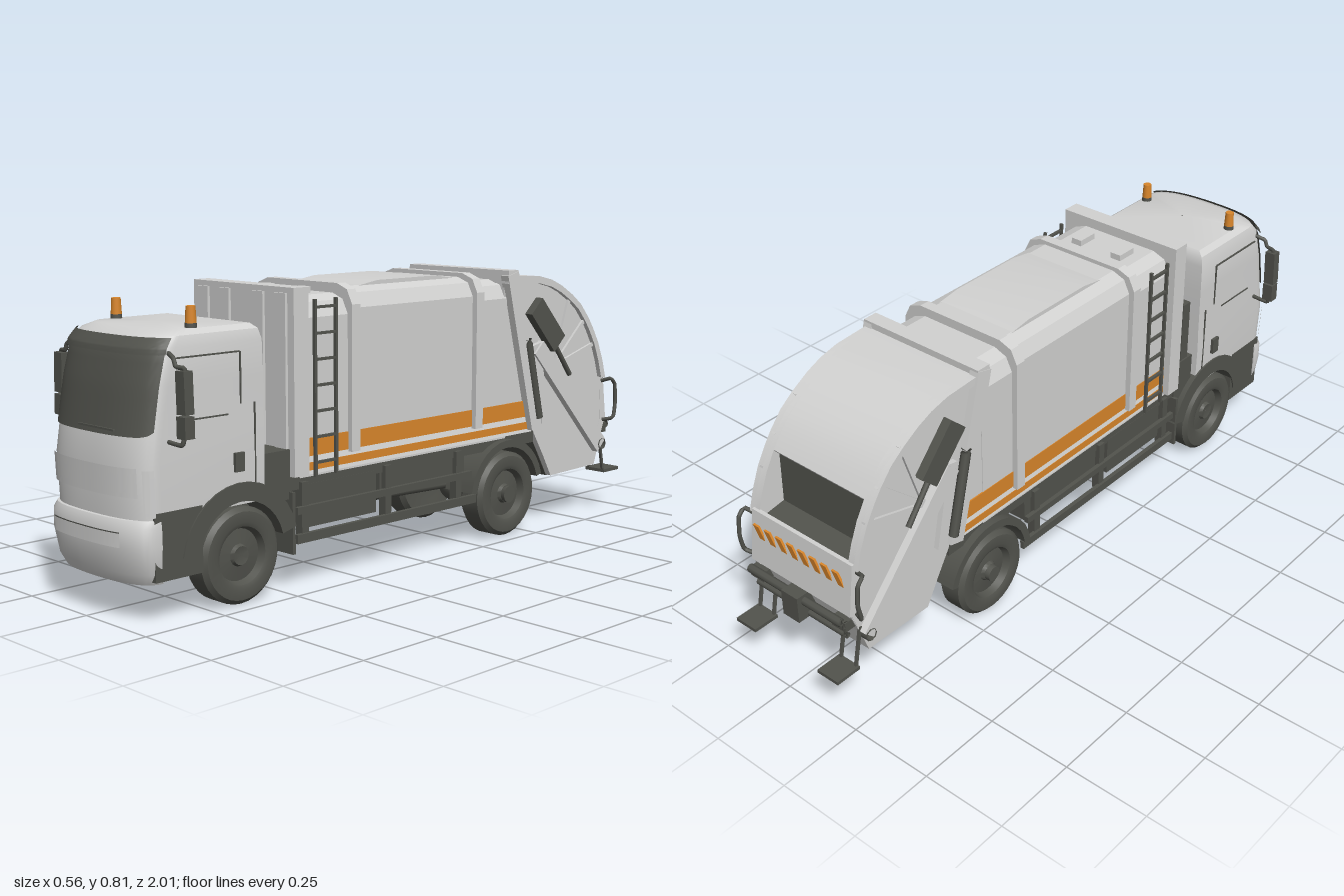
import * as THREE from 'three';
import { toCreasedNormals } from 'three/addons/utils/BufferGeometryUtils.js';

const mat = (name, color, side = THREE.FrontSide) => Object.assign(new THREE.MeshStandardMaterial({ color, side }), { name });
const light = mat('lightGrey', 0xd2d2d1);
const dark = mat('darkGrey', 0x52534d, THREE.DoubleSide);
const orange = mat('orange', 0xd9862b);
const white = mat('white', 0xf0f0ee);

// Cab outline by height: y, half width, front z, back z
const CAB = [[0.265, 0.001, 0.75, 0.74], [0.266, 0.201, 0.98, 0.57], [0.4, 0.203, 0.985, 0.57], [0.47, 0.201, 0.975, 0.57],
  [0.6, 0.2, 0.952, 0.57], [0.69, 0.198, 0.928, 0.572], [0.718, 0.19, 0.905, 0.578], [0.731, 0.172, 0.87, 0.59], [0.735, 0.001, 0.75, 0.74]];
const BUMPER = [[0.1, 0.001, 0.95, 0.94], [0.101, 0.19, 0.972, 0.91], [0.13, 0.202, 0.985, 0.91], [0.2, 0.207, 0.998, 0.91],
  [0.25, 0.206, 0.998, 0.91], [0.268, 0.202, 0.988, 0.91], [0.272, 0.001, 0.95, 0.94]];

// Bowed front of a section at t from -1 (right) to 1 (left)
function frontPoint([y, w, zf], t, off = 0) {
  const a = t * Math.PI / 2, d = Math.min(0.075, w);
  return [Math.sign(t) * (w + off) * Math.abs(Math.sin(a)) ** 0.8, y, zf - d + (d + off) * Math.max(0, Math.cos(a)) ** 0.8];
}
function sectionAt(table, y) {
  const i = Math.max(1, table.findIndex(r => r[0] >= y));
  const a = table[i - 1], b = table[i], k = (y - a[0]) / (b[0] - a[0]);
  return a.map((v, j) => v + (b[j] - v) * k);
}
function grid(rows, crease) {
  const n = rows[0].length, index = [];
  for (let j = 0; j < rows.length - 1; j++) for (let i = 0; i < n - 1; i++) {
    const a = j * n + i, b = a + n;
    index.push(a, a + 1, b + 1, a, b + 1, b);
  }
  const g = new THREE.BufferGeometry();
  g.setAttribute('position', new THREE.Float32BufferAttribute(rows.flat(2), 3));
  g.setIndex(index);
  return toCreasedNormals(g, crease);
}
const loft = table => grid(table.map(s => {
  const ring = [];
  for (let i = 0; i <= 32; i++) ring.push(frontPoint(s, i / 16 - 1));
  ring.push([s[1], s[0], s[3]], [-s[1], s[0], s[3]], ring[0]);
  return ring;
}), 0.6);
// Panel that follows the bowed front; bottom(t) lifts its lower edge
function frontPanel(table, y0, y1, t0, t1, off, bottom = () => 0) {
  const rows = [];
  for (let j = 0; j <= 10; j++) {
    const row = [];
    for (let i = 0; i <= 32; i++) {
      const t = t0 + (t1 - t0) * i / 32, lo = y0 + bottom(t);
      row.push(frontPoint(sectionAt(table, lo + (y1 - lo) * j / 10), t, off));
    }
    rows.push(row);
  }
  return grid(rows, 0.8);
}
// Side profile of [z, y] points, extruded from x0 to x1
function profile(pts, x0, x1) {
  const g = new THREE.ExtrudeGeometry(new THREE.Shape(pts.map(p => new THREE.Vector2(...p))), { depth: x1 - x0, bevelEnabled: false });
  return toCreasedNormals(g.rotateY(-Math.PI / 2).translate(x1, 0, 0), 0.4);
}
// Side plate mirrored by s, between |x| = a and b
const sidePlate = (pts, s, a, b) => s > 0 ? profile(pts, a, b) : profile(pts, -b, -a);

export function createModel() {
  const root = new THREE.Group();
  root.name = 'refuseTruck';
  const add = (name, g, m) => { const o = new THREE.Mesh(g, m); o.name = name; root.add(o); return o; };
  const box = (name, m, x0, x1, y0, y1, z0, z1) => add(name, new THREE.BoxGeometry(Math.abs(x1 - x0), y1 - y0, z1 - z0)
    .translate((x0 + x1) / 2, (y0 + y1) / 2, (z0 + z1) / 2), m);
  const beam = (name, m, a, b, w, h) => {
    const A = new THREE.Vector3(...a), B = new THREE.Vector3(...b);
    const o = add(name, new THREE.BoxGeometry(w, h, A.distanceTo(B)), m);
    o.position.copy(A).add(B).multiplyScalar(0.5);
    o.lookAt(B);
  };
  const tube = (name, m, pts, r) => add(name, new THREE.TubeGeometry(
    new THREE.CatmullRomCurve3(pts.map(p => new THREE.Vector3(...p)), false, 'catmullrom', 0.2), 20, r, 8), m);
  const rod = (name, m, a, b, r) => tube(name, m, [a, b], r);

  // Cab
  add('cabShell', loft(CAB), light);
  add('bumper', loft(BUMPER), light);
  add('windscreen', frontPanel(CAB, 0.475, 0.7, -0.83, 0.83, 0.005, t => 0.06 * t ** 8), dark);
  add('sunVisor', frontPanel(CAB, 0.675, 0.716, -0.83, 0.83, 0.012), dark);
  add('frontPanel', frontPanel(CAB, 0.325, 0.4, -0.6, 0.6, 0.006), light);
  add('lowerGrille', frontPanel(BUMPER, 0.2, 0.24, -0.4, 0.4, 0.006), light);
  add('grilleLine', frontPanel(BUMPER, 0.237, 0.24, -0.4, 0.4, 0.008), dark);
  box('engineBay', dark, -0.115, 0.115, 0.11, 0.28, 0.5, 0.94);
  box('wiper', dark, -0.04, 0.11, 0.487, 0.492, 0.975, 0.98);

  // Tailgate arc, shared by the roof, the side plates and their rims
  const roof = [[-0.43, 0.797], [-0.56, 0.79], [-0.62, 0.776], [-0.67, 0.755], [-0.725, 0.723], [-0.77, 0.69], [-0.81, 0.645], [-0.835, 0.61]];
  const arc = [...roof, [-0.865, 0.56], [-0.89, 0.5], [-0.908, 0.44]];
  const side = [...arc, [-0.928, 0.3], [-0.872, 0.155], [-0.65, 0.15], [-0.61, 0.22], [-0.56, 0.3]];
  const inset = pts => pts.map(([z, y]) => [z + (-0.62 - z) * 0.08, y + (0.5 - y) * 0.08]).reverse();

  for (const s of [1, -1]) {
    add('headlamp', frontPanel(CAB, 0.275, 0.395, s > 0 ? 0.68 : -0.88, s > 0 ? 0.88 : -0.68, 0.006), light);
    // Cab side: step, door lines, handle
    box('cabStep', dark, s * 0.11, s * 0.203, 0.11, 0.285, 0.78, 0.93);
    box('windowTopLine', dark, s * 0.199, s * 0.203, 0.663, 0.667, 0.65, 0.86);
    box('windowRearLine', dark, s * 0.199, s * 0.203, 0.53, 0.665, 0.646, 0.65);
    box('windowLowerLine', dark, s * 0.199, s * 0.203, 0.505, 0.509, 0.69, 0.84);
    box('doorLine', dark, s * 0.2, s * 0.204, 0.3, 0.53, 0.6, 0.604);
    box('doorHandle', dark, s * 0.2, s * 0.212, 0.355, 0.405, 0.645, 0.675);
    // Mirror with its arms
    beam('mirrorHead', dark, [s * 0.263, 0.535, 0.875], [s * 0.259, 0.642, 0.875], 0.028, 0.034);
    beam('lowerMirror', dark, [s * 0.263, 0.475, 0.875], [s * 0.262, 0.53, 0.875], 0.03, 0.034);
    tube('mirrorArm', dark, [[s * 0.19, 0.68, 0.87], [s * 0.225, 0.67, 0.88], [s * 0.235, 0.65, 0.88], [s * 0.262, 0.648, 0.875], [s * 0.262, 0.63, 0.875]], 0.006);
    tube('mirrorLowerArm', dark, [[s * 0.195, 0.46, 0.88], [s * 0.255, 0.458, 0.88], [s * 0.262, 0.5, 0.875]], 0.006);
    // Roof beacon
    add('beaconBase', new THREE.CylinderGeometry(0.015, 0.016, 0.02, 16).translate(s * 0.157, 0.733, 0.77), dark);
    add('beacon', new THREE.CylinderGeometry(0.0125, 0.015, 0.044, 16).translate(s * 0.157, 0.764, 0.77), orange);

    // Wheels and mudguards
    for (const z of [0.652, -0.412]) {
      const prof = [[0.001, 0.03], [0.025, 0.035], [0.03, 0.025], [0.07, 0.02], [0.078, 0.04], [0.09, 0.045], [0.118, 0.042], [0.13, 0.03],
        [0.13, -0.03], [0.118, -0.045], [0.07, -0.04], [0.001, -0.03]].reverse();
      const g = new THREE.LatheGeometry(prof.map(p => new THREE.Vector2(...p)), 32);
      add('wheel', toCreasedNormals(g.rotateZ(-s * Math.PI / 2), 0.6).translate(s * 0.166, 0.13, z), dark);
      if (z < 0) add('hub', new THREE.CylinderGeometry(0.022, 0.026, 0.03, 16).rotateZ(Math.PI / 2).translate(s * 0.2, 0.13, z), dark);
      const arch = [], a0 = 0.15, a1 = Math.PI - 0.25, inner = 0.145, outer = z > 0 ? 0.195 : 0.168;
      for (let i = 0; i <= 14; i++) { const a = a0 + (a1 - a0) * i / 14; arch.push([z + outer * Math.cos(a), 0.13 + outer * Math.sin(a)]); }
      for (let i = 14; i >= 0; i--) { const a = a0 + (a1 - a0) * i / 14; arch.push([z + inner * Math.cos(a), 0.13 + inner * Math.sin(a)]); }
      add('mudguard', sidePlate(arch, s, 0.1, 0.207), dark);
    }
    box('mudFlap', dark, s * 0.11, s * 0.205, 0.1, 0.27, 0.465, 0.475);

    // Tanks and side guards
    box('tank', dark, s * 0.09, s * 0.185, 0.16, 0.28, 0.14, 0.4);
    box('storageBox', dark, s * 0.09, s * 0.18, 0.2, 0.28, -0.24, 0.12);
    box('sideGuard', dark, s * 0.19, s * 0.203, 0.125, 0.15, -0.27, 0.455);
    box('upperSideGuard', dark, s * 0.19, s * 0.203, 0.205, 0.225, -0.25, 0.455);
    for (const z of [0.42, 0.1, -0.2]) box('guardBracket', dark, s * 0.17, s * 0.195, 0.13, 0.29, z - 0.012, z + 0.012);
    box('intakeBox', dark, s * 0.09, s * 0.19, 0.25, 0.385, 0.47, 0.56);

    // Body side stripes
    const stripe = (name, m, y0, y1, x) => {
      const end = y => -0.42 - (0.8 - y) * 0.25;
      add(name, sidePlate([[0.412, y0], [0.412, y1], [end(y1), y1], [end(y0), y0]].reverse(), s, 0.182, x), m);
    };
    stripe('upperStripe', orange, 0.356, 0.406, 0.188);
    stripe('whiteBand', white, 0.306, 0.356, 0.1875);
    stripe('lowerStripe', orange, 0.317, 0.339, 0.189);
    // Ladder
    for (const z of [0.308, 0.385]) box('ladderRail', dark, s * 0.194, s * 0.203, 0.3, 0.78, z - 0.004, z + 0.004);
    for (let i = 0; i < 7; i++) box('ladderRung', dark, s * 0.194, s * 0.203, 0.335 + i * 0.07, 0.342 + i * 0.07, 0.308, 0.385);
    box('roofBox', light, s * 0.055, s * 0.09, 0.78, 0.803, 0.3, 0.365);
    for (const x of [0.07, 0.16]) box('bulkheadRib', light, s * (x - 0.022), s * (x + 0.022), 0.33, 0.8, 0.468, 0.476);

    // Tailgate side with rim, spokes and lifting gear
    add('tailgateSide', sidePlate(side, s, 0.165, 0.185), light);
    add('tailgateRim', sidePlate([...arc, ...inset(arc)], s, 0.18, 0.2), light);
    for (const i of [4, 6, 8]) beam('tailgateSpoke', light, [s * 0.187, 0.5, -0.65], [s * 0.187, arc[i][1], arc[i][0]], 0.012, 0.012);
    beam('tailgatePost', light, [s * 0.192, 0.805, -0.425], [s * 0.192, 0.32, -0.55], 0.03, 0.05);
    beam('liftArm', light, [s * 0.197, 0.57, -0.555], [s * 0.197, 0.22, -0.885], 0.022, 0.055);
    beam('armBracket', light, [s * 0.193, 0.58, -0.55], [s * 0.193, 0.33, -0.6], 0.016, 0.035);
    beam('packerCylinder', dark, [s * 0.198, 0.7, -0.535], [s * 0.198, 0.575, -0.65], 0.028, 0.07);
    rod('packerRod', dark, [s * 0.198, 0.6, -0.62], [s * 0.198, 0.47, -0.72], 0.008);
    rod('liftCylinder', dark, [s * 0.204, 0.6, -0.5], [s * 0.204, 0.35, -0.56], 0.014);
    rod('armPivot', dark, [s * 0.18, 0.225, -0.885], [s * 0.212, 0.225, -0.885], 0.018);
    // Grab rail and rear step
    tube('grabRail', dark, [[s * 0.19, 0.3, -0.91], [s * 0.222, 0.31, -0.925], [s * 0.222, 0.36, -0.935], [s * 0.222, 0.42, -0.93], [s * 0.22, 0.44, -0.91], [s * 0.19, 0.43, -0.9]], 0.006);
    box('rearStep', dark, s * 0.12, s * 0.195, 0.122, 0.132, -1, -0.92);
    for (const x of [0.13, 0.185]) beam('stepLeg', dark, [s * x, 0.25, -0.9], [s * x, 0.127, -0.925], 0.008, 0.008);
    box('tailLamp', dark, s * 0.13, s * 0.18, 0.255, 0.285, -0.945, -0.9);
  }

  // Chassis, axles and drive line
  box('chassisFrame', dark, -0.085, 0.085, 0.2, 0.28, -0.66, 0.52);
  box('floor', dark, -0.184, 0.184, 0.27, 0.305, -0.56, 0.47);
  for (const z of [0.652, -0.412]) rod('axle', dark, [-0.16, 0.13, z], [0.16, 0.13, z], 0.025);
  add('differential', new THREE.SphereGeometry(0.06, 20, 14).translate(0, 0.135, -0.412), dark);
  rod('driveShaft', dark, [0, 0.17, 0.5], [0, 0.14, -0.4], 0.016);
  box('airIntake', dark, -0.185, -0.15, 0.38, 0.58, 0.505, 0.54);

  // Refuse body: hipped section run along z, with proud ribs
  const hull = (name, w, top, z0, z1, low = 0.3) => {
    const s = new THREE.Shape([[-w, low], [w, low], [w, top - 0.055], [w - 0.02, top - 0.015], [w - 0.06, top],
      [0.06 - w, top], [0.02 - w, top - 0.015], [-w, top - 0.055]].map(p => new THREE.Vector2(...p)));
    add(name, new THREE.ExtrudeGeometry(s, { depth: z1 - z0, bevelEnabled: false }).translate(0, 0, z0), light);
  };
  hull('bodyFrontBay', 0.186, 0.785, 0.24, 0.43);
  hull('bodyMain', 0.186, 0.8, -0.27, 0.24);
  hull('bodyRearBay', 0.186, 0.785, -0.42, -0.27);
  add('bodyTail', profile([[-0.41, 0.3], [-0.41, 0.79], [-0.43, 0.79], [-0.55, 0.3]].reverse(), -0.184, 0.184).scale(1, 1, 1), light);
  add('roofCrown', profile([[0.16, 0.798], [0.08, 0.81], [-0.16, 0.81], [-0.24, 0.798]].reverse(), -0.13, 0.13), light);
  for (const z of [0.235, -0.28]) hull('bodyRib', 0.203, 0.812, z - 0.016, z + 0.016, 0.35);
  box('bulkhead', light, -0.207, 0.207, 0.31, 0.815, 0.415, 0.468);
  box('tailgateHinge', light, -0.205, 0.205, 0.775, 0.815, -0.45, -0.405);

  // Tailgate roof, hopper and rear panel
  add('tailgateRoof', profile([...roof, ...roof.map(([z, y]) => [z + 0.005, y - 0.008]).reverse()], -0.182, 0.182), light);
  add('hopperInside', profile([[-0.44, 0.78], [-0.56, 0.777], [-0.66, 0.745], [-0.76, 0.683], [-0.818, 0.615], [-0.82, 0.44], [-0.89, 0.43],
    [-0.905, 0.3], [-0.86, 0.152], [-0.65, 0.148], [-0.56, 0.3]], -0.166, 0.166), dark);
  add('rearPanel', profile([[-0.9, 0.455], [-0.912, 0.455], [-0.932, 0.3], [-0.9, 0.3]], -0.186, 0.186), light);
  add('hopperLip', profile([[-0.9, 0.3], [-0.925, 0.3], [-0.875, 0.155], [-0.85, 0.155]], -0.186, 0.186), light);
  rod('lifterBar', dark, [-0.18, 0.28, -0.945], [0.18, 0.28, -0.945], 0.012);
  rod('lowerBar', dark, [-0.17, 0.23, -0.93], [0.17, 0.23, -0.93], 0.009);
  box('lifterBlock', dark, -0.03, 0.03, 0.22, 0.3, -0.97, -0.9);
  for (let i = 0; i < 8; i++) {
    const x = -0.165 + i * 0.042;
    const slash = new THREE.Shape([[x, -0.027], [x + 0.021, -0.027], [x + 0.041, 0.027], [x + 0.02, 0.027]].map(p => new THREE.Vector2(...p)));
    const g = new THREE.ExtrudeGeometry(slash, { depth: 0.006, bevelEnabled: false }).rotateX(-0.13);
    add('warningSlash', g.translate(0, 0.393, -0.924), orange);
  }
  return root;
}
